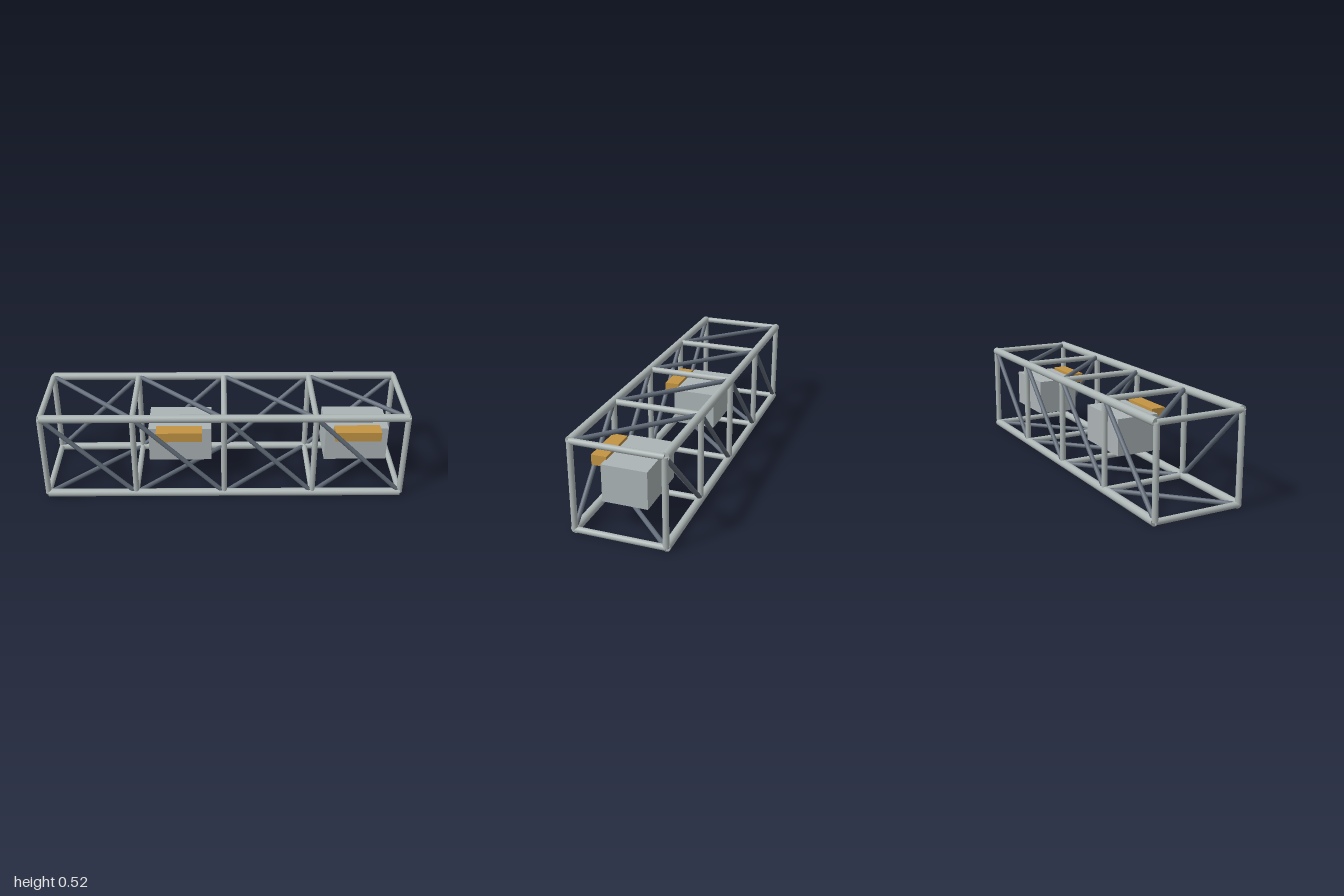
import * as THREE from 'three';

const material = (name, color) => {
  const m = new THREE.MeshStandardMaterial({ color });
  m.name = name;
  return m;
};

export function createModel() {
  const model = new THREE.Group();
  model.name = 'boxTruss';

  const tubeGrey = material('tubeGrey', 0xadb5b5);
  const braceGrey = material('braceSlate', 0x626c79);
  const boxGrey = material('equipmentGrey', 0xacb4b6);
  const ochre = material('ochre', 0xc39443);

  const HALF = 0.984, BAYS = 4, BAY = (2 * HALF) / BAYS;
  const LOW = 0.022, HIGH = 0.503, SIDE = 0.24;
  const V = (x, y, z) => new THREE.Vector3(x, y, z);

  // Round tube between two points
  function tube(name, a, b, radius, mat) {
    const dir = b.clone().sub(a);
    const mesh = new THREE.Mesh(new THREE.CylinderGeometry(radius, radius, dir.length(), 16), mat);
    mesh.position.copy(a).add(b).multiplyScalar(0.5);
    mesh.quaternion.setFromUnitVectors(V(0, 1, 0), dir.normalize());
    mesh.name = name;
    model.add(mesh);
  }

  function box(name, size, position, mat) {
    const mesh = new THREE.Mesh(new THREE.BoxGeometry(...size), mat);
    mesh.position.set(...position);
    mesh.name = name;
    model.add(mesh);
  }

  // Corners in order around the square section: [y, z]
  const corners = [[HIGH, SIDE], [LOW, SIDE], [LOW, -SIDE], [HIGH, -SIDE]];
  const node = (i, c) => V(-HALF + i * BAY, ...corners[c % 4]);

  for (let c = 0; c < 4; c++) {
    // Long corner chord
    tube('chord', node(0, c), node(BAYS, c), 0.022, tubeGrey);
    // Square frames at every bay line
    for (let i = 0; i <= BAYS; i++) {
      tube(c % 2 ? 'crossMember' : 'post', node(i, c), node(i, c + 1), 0.016, tubeGrey);
    }
    // One diagonal per bay on each face, winding round the truss
    for (let i = 0; i < BAYS; i++) {
      tube('diagonalBrace', node(i, c), node(i + 1, c + 1), 0.0125, braceGrey);
    }
  }

  // Equipment boxes in the second and fourth bays, each with a front block
  for (const x of [-0.246, 0.738]) {
    box('equipmentBox', [0.348, 0.202, 0.241], [x, 0.264, 0], boxGrey);
    box('frontBlock', [0.252, 0.055, 0.081], [x - 0.002, 0.3535, 0.154], ochre);
  }

  return model;
}
